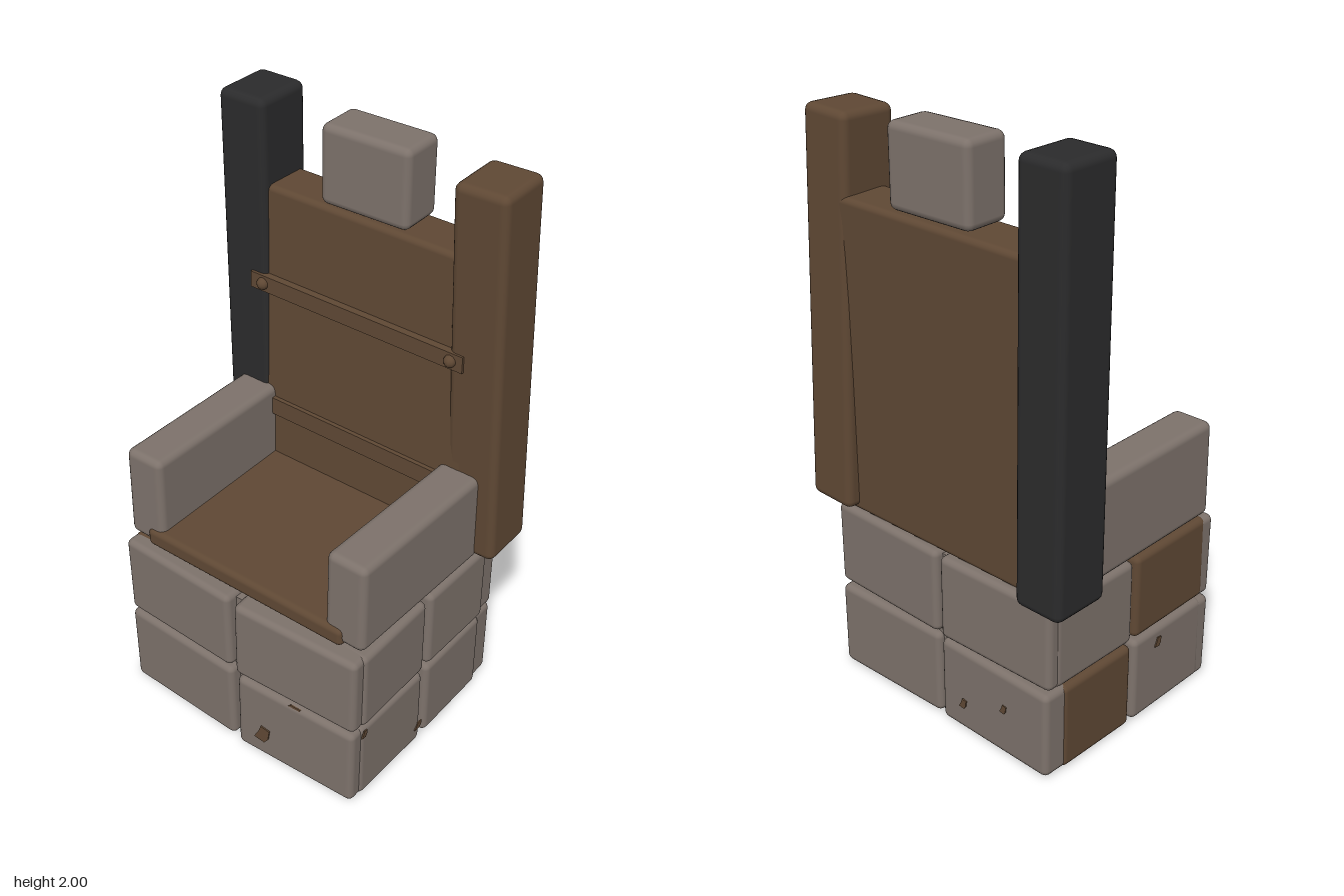
import * as THREE from 'three';
import { RoundedBoxGeometry } from 'three/addons/geometries/RoundedBoxGeometry.js';

export function createModel() {
  const root = new THREE.Group();
  root.name = 'throne';
  const material = (name, color) => {
    const m = new THREE.MeshStandardMaterial({ color });
    m.name = name;
    return m;
  };
  const stone = material('stone', 0x7d726b);
  const wood = material('wood', 0x5f4834);
  const charred = material('charredWood', 0x2b2b2c);

  const add = (name, geometry, mat, x, y, z, rot = [0, 0, 0], parent = root) => {
    const mesh = new THREE.Mesh(geometry, mat);
    mesh.name = name;
    mesh.position.set(x, y, z);
    mesh.rotation.set(...rot);
    parent.add(mesh);
    return mesh;
  };

  // Bevelled block given by its extents on each axis
  const block = (name, mat, [x0, x1], [y0, y1], [z0, z1], rot, r = 0.022, parent = root) =>
    add(name, new RoundedBoxGeometry(x1 - x0, y1 - y0, z1 - z0, 2, r), mat,
      (x0 + x1) / 2, (y0 + y1) / 2, (z0 + z1) / 2, rot, parent);

  // Masonry base: two courses of eight blocks around a core
  const base = new THREE.Group();
  base.name = 'base';
  root.add(base);
  add('baseCore', new THREE.BoxGeometry(0.88, 0.58, 0.74), stone, -0.01, 0.32, 0, undefined, base);

  const courses = [
    { y: [0.005, 0.312], split: -0.01, right: 0.47, leftFront: stone, leftBack: wood },
    { y: [0.325, 0.625], split: -0.015, right: 0.475, leftFront: wood, leftBack: stone },
  ];
  courses.forEach(({ y, split, right, leftFront, leftBack }, i) => {
    const s = i ? 1 : -1;
    const tag = i ? 'Upper' : 'Lower';
    const put = (name, mat, x, z, rot) => block(name + tag, mat, x, y, z, rot, 0.022, base);
    put('frontBlockLeft', stone, [split + 0.012, right - 0.005], [0.25, 0.412], [0, 0.05, -0.008]);
    put('frontBlockRight', stone, [-0.488, split - 0.008], [0.25, 0.405], [0, -0.04, 0.01]);
    put('backBlockLeft', stone, [split + 0.008, right - 0.01], [-0.4, -0.25], [0, -0.02 * s, 0]);
    put('backBlockRight', stone, [-0.485, split - 0.008], [-0.405, -0.25], [0, 0.02 * s, 0]);
    put('sideBlockLeftFront', stone, [0.32, right + 0.004], [0.022, 0.36], [0, 0.01 * s, 0]);
    put('sideBlockLeftBack', stone, [0.32, right + 0.004], [-0.32, 0.002], [0, -0.01 * s, 0]);
    put('sideBlockRightFront', leftFront, [-0.492, -0.34], [0.0, 0.36], [0, 0.01, 0]);
    put('sideBlockRightBack', leftBack, [-0.492, -0.34], [i ? -0.37 : -0.335, -0.012], [0, -0.01, 0]);
  });

  // Seat plank and arm slabs
  block('seat', wood, [-0.41, 0.395], [0.632, 0.7], [-0.36, 0.372], [0, 0, 0.004], 0.02);
  block('armrestRight', stone, [-0.495, -0.348], [0.635, 0.972], [-0.35, 0.36], [-0.015, 0.006, 0], 0.025);
  block('armrestLeft', stone, [0.325, 0.475], [0.638, 0.968], [-0.35, 0.358], [-0.015, -0.012, 0], 0.025);

  // Backrest, posts and headstone
  block('backrest', wood, [-0.4, 0.42], [0.63, 1.71], [-0.4, -0.228], [-0.02, 0, 0], 0.02);
  block('postRight', charred, [-0.551, -0.371], [0.61, 1.998], [-0.43, -0.217], [0.002, 0, 0.005], 0.026);
  block('postLeft', wood, [0.345, 0.53], [0.645, 1.963], [-0.42, -0.217], [0.024, 0, 0.025], 0.026);
  block('headstone', stone, [-0.174, 0.15], [1.714, 1.98], [-0.405, -0.242], [0, 0.025, 0], 0.025);

  // Straps across the backrest, with rivets on the upper one
  add('upperStrap', new THREE.BoxGeometry(0.83, 0.058, 0.03), wood, -0.015, 1.37, -0.222);
  add('lowerStrap', new THREE.BoxGeometry(0.72, 0.065, 0.02), wood, -0.015, 0.897, -0.218);
  for (const x of [-0.38, 0.355]) {
    add('rivet', new THREE.SphereGeometry(0.021, 10, 8), wood, x, 1.37, -0.207);
  }

  // Worn spots: thin irregular plates [x, y, z, turn, width, height]
  const spot = new THREE.Shape([[-1, -0.8], [0.3, -1], [0.8, -0.4], [1, 0.8], [-0.1, 1], [-0.4, 0.2]]
    .map(([x, y]) => new THREE.Vector2(x, y)));
  const spotGeometry = new THREE.ExtrudeGeometry(spot, { depth: 0.005, bevelEnabled: false });
  const q = Math.PI / 2;
  [
    [0.11, 0.11, 0.418, 0.05, 0.032, 0.035],
    [0.23, 0.3, 0.404, 0.05, 0.035, 0.011],
    [0.474, 0.075, 0.04, q, 0.02, 0.014],
    [0.473, 0.29, 0.345, q, 0.014, 0.014],
    [-0.12, 0.11, -0.404, 2 * q, 0.016, 0.018],
    [-0.3, 0.18, -0.405, 2 * q, 0.014, 0.016],
    [-0.492, 0.26, 0.12, -q, 0.016, 0.018],
  ].forEach(([x, y, z, turn, w, h]) => {
    add('wornSpot', spotGeometry, wood, x, y, z, [0, turn, 0], base).scale.set(w, h, 1);
  });

  return root;
}
